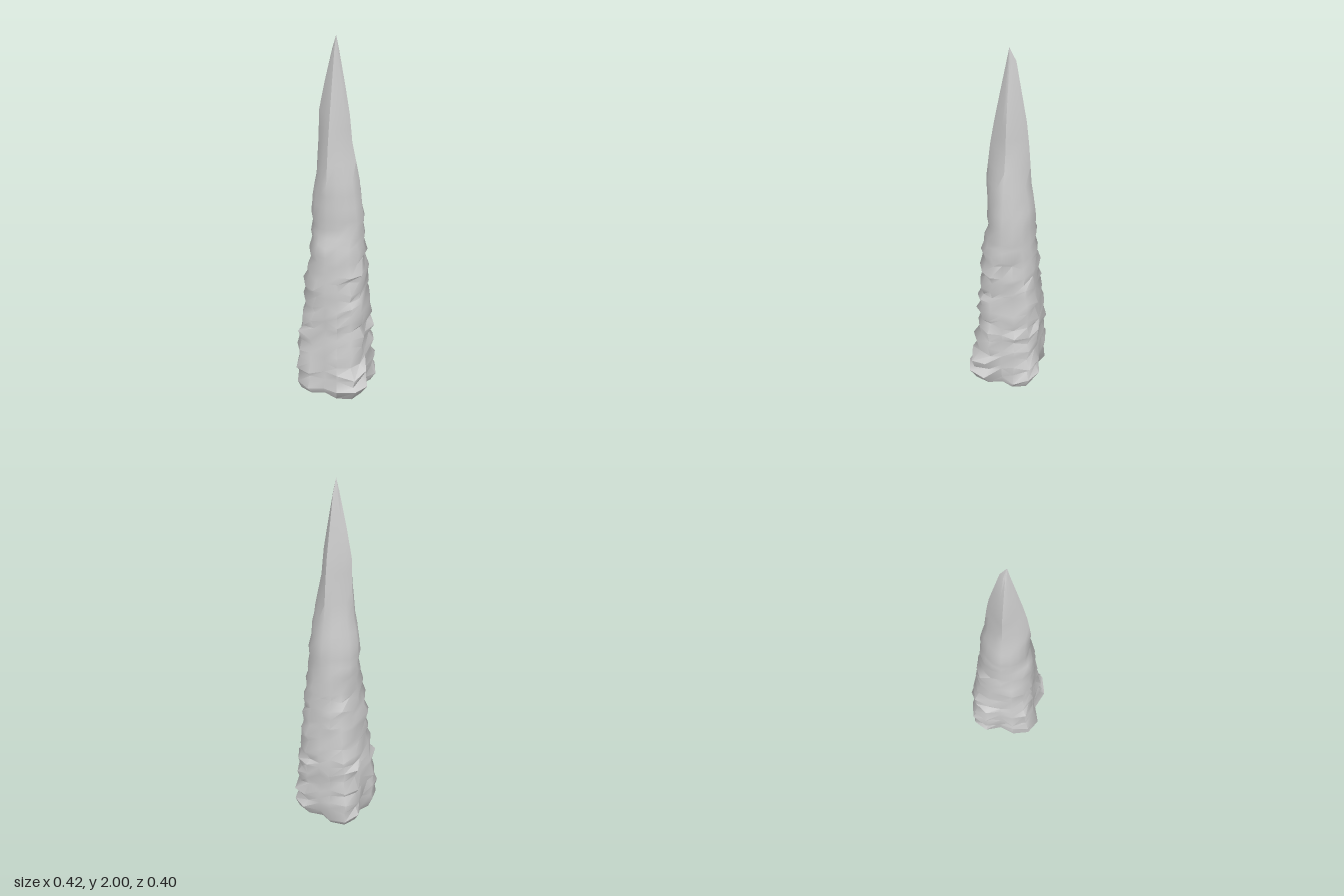
import * as THREE from 'three';
import { toCreasedNormals } from 'three/addons/utils/BufferGeometryUtils.js';

// Half-widths at each height: [y, +x, +z, -x, -z]
const PROFILE = [
  [0.00, 0.19, 0.185, 0.175, 0.165],
  [0.06, 0.205, 0.195, 0.19, 0.185],
  [0.33, 0.185, 0.17, 0.19, 0.185],
  [0.50, 0.185, 0.165, 0.17, 0.18],
  [0.75, 0.18, 0.155, 0.155, 0.16],
  [0.88, 0.17, 0.16, 0.14, 0.145],
  [0.91, 0.17, 0.125, 0.135, 0.145],
  [1.10, 0.155, 0.13, 0.14, 0.14],
  [1.25, 0.135, 0.13, 0.11, 0.115],
  [1.45, 0.09, 0.105, 0.095, 0.1],
  [1.60, 0.075, 0.08, 0.09, 0.085],
  [1.75, 0.05, 0.052, 0.06, 0.06],
  [1.93, 0.016, 0.018, 0.018, 0.03],
  [2.00, 0, 0, 0, 0],
];
const SIDES = 16;
// Radius factors from side middle to corner: lobed square below, diamond above
const LOBED = [0.84, 1.07, 1.2, 1.07];
const DIAMOND = [1, 0.83, 0.75, 0.83];

function seeded(seed) {
  let s = seed;
  return () => (s = (s * 16807) % 2147483647) / 2147483647;
}

function widthsAt(y) {
  let i = 0;
  while (i < PROFILE.length - 2 && PROFILE[i + 1][0] < y) i++;
  const a = PROFILE[i], b = PROFILE[i + 1];
  const t = (y - a[0]) / (b[0] - a[0]);
  return a.map((v, j) => v + (b[j] - v) * t);
}

function spireGeometry() {
  const rand = seeded(41);
  const heights = [];
  for (let y = 0; y < 0.99; y += 0.0495) heights.push(y);
  heights.push(1.04, 1.11, 1.18, 1.25, 1.35, 1.45, 1.52, 1.6, 1.75, 1.93);
  const pos = [], index = [];

  heights.forEach((y, row) => {
    const [, px, pz, nx, nz] = widthsAt(y);
    const rough = THREE.MathUtils.clamp((1.3 - y) / 0.5, 0, 1);
    const blend = THREE.MathUtils.clamp(1 - y / 1.5, 0, 1);
    for (let i = 0; i < SIDES; i++) {
      const a = (i / SIDES) * Math.PI * 2;
      const c = Math.cos(a), s = Math.sin(a);
      // Alternating ledges, strongest on the four corner lobes
      const corner = i % 4 === 0 ? 0.35 : 1;
      const ledge = (row % 2 ? 1 : -1) * 0.055 * corner;
      const bump = row === 0 ? -0.04 : ledge + (rand() - 0.5) * 0.11;
      const k = THREE.MathUtils.lerp(DIAMOND[i % 4], LOBED[i % 4], blend);
      const r = k * (1 + bump * rough);
      const lift = row === 0 ? 0 : (rand() - 0.5) * 0.035 * rough;
      pos.push(c * r * (c > 0 ? px : nx), y + lift, s * r * (s > 0 ? pz : nz));
    }
  });

  // Skin between neighbouring rings
  for (let row = 0; row < heights.length - 1; row++) {
    for (let i = 0; i < SIDES; i++) {
      const j = (i + 1) % SIDES;
      const a = row * SIDES + i, b = row * SIDES + j;
      const c = a + SIDES, d = b + SIDES;
      index.push(a, c, b, b, c, d);
    }
  }
  // Pointed tip and flat base
  const tip = pos.length / 3, base = tip + 1;
  const last = (heights.length - 1) * SIDES;
  pos.push(0.004, 2, 0.004, 0, 0, 0);
  for (let i = 0; i < SIDES; i++) {
    const j = (i + 1) % SIDES;
    index.push(last + i, tip, last + j, base, i, j);
  }

  const geo = new THREE.BufferGeometry();
  geo.setAttribute('position', new THREE.Float32BufferAttribute(pos, 3));
  geo.setIndex(index);
  return toCreasedNormals(geo, 1.05);
}

export function createModel() {
  const group = new THREE.Group();
  group.name = 'rockSpire';
  const spire = new THREE.Mesh(
    spireGeometry(),
    new THREE.MeshStandardMaterial({ color: 0xcccccc })
  );
  spire.name = 'spire';
  group.add(spire);
  return group;
}
